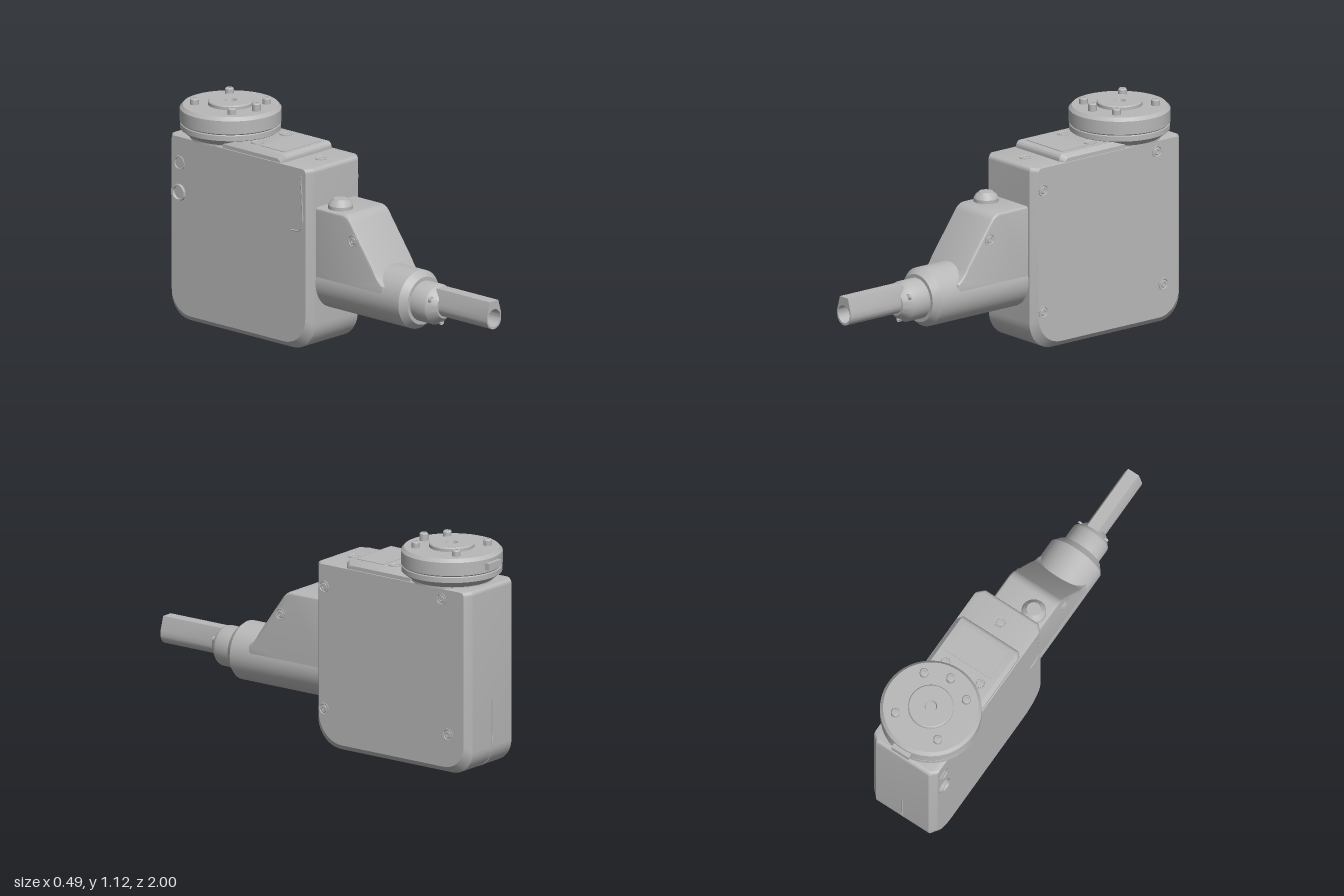
import * as THREE from 'three';
import { toCreasedNormals } from 'three/addons/utils/BufferGeometryUtils.js';

const grey = new THREE.MeshStandardMaterial({ color: 0xb8b8b8 });
grey.name = 'machined grey';

const UP = new THREE.Vector3(0, 1, 0);

export function createModel() {
  const model = new THREE.Group();
  model.name = 'actuator';

  function add(name, geometry, crease = 0.5) {
    const mesh = new THREE.Mesh(toCreasedNormals(geometry, crease), grey);
    mesh.name = name;
    model.add(mesh);
    return mesh;
  }

  // Turned part: profile of [radius, height], base at pos, pointing along dir
  function turned(name, profile, pos, dir = [0, 1, 0], sides = 32) {
    const geo = new THREE.LatheGeometry(profile.map(p => new THREE.Vector2(...p)), sides);
    const mesh = add(name, geo);
    mesh.position.set(...pos);
    mesh.quaternion.setFromUnitVectors(UP, new THREE.Vector3(...dir).normalize());
    return mesh;
  }

  // Skin over convex rings ordered along +x, closed at both ends
  function loft(rings) {
    const v = [];
    const tri = (...pts) => pts.forEach(p => v.push(p.x, p.y, p.z));
    const n = rings[0].length;
    for (let i = 0; i < rings.length - 1; i++) {
      for (let j = 0; j < n; j++) {
        const k = (j + 1) % n;
        const a = rings[i][j], b = rings[i][k], c = rings[i + 1][k], d = rings[i + 1][j];
        tri(a, b, d);
        tri(b, c, d);
      }
    }
    [rings[0], rings[rings.length - 1]].forEach((ring, end) => {
      const mid = ring.reduce((s, p) => s.add(p), new THREE.Vector3()).divideScalar(n);
      ring.forEach((p, j) => {
        const q = ring[(j + 1) % n];
        if (end) tri(mid, p, q); else tri(mid, q, p);
      });
    });
    const geo = new THREE.BufferGeometry();
    geo.setAttribute('position', new THREE.Float32BufferAttribute(v, 3));
    return geo;
  }

  // Rounded side outline of a case at x; radii: front bottom, back bottom, back top, front top
  function outline(x, zBack, zFront, yLow, yHigh, radii) {
    const corners = [[zFront, yLow, 1, -1], [zBack, yLow, -1, -1], [zBack, yHigh, -1, 1], [zFront, yHigh, 1, 1]];
    const pts = [];
    corners.forEach(([z, y, sz, sy], c) => {
      const r = radii[c];
      const start = -c * Math.PI / 2;
      for (let i = 0; i <= 10; i++) {
        const a = start - i * Math.PI / 20;
        pts.push(new THREE.Vector3(x, y - sy * r + r * Math.sin(a), z - sz * r + r * Math.cos(a)));
      }
    });
    return pts;
  }

  // Main case with chamfered side edges
  const caseRing = (x, inset) => outline(x, -0.98 + inset, -0.04 - inset, 0.01 + inset,
    0.93 - inset * 0.15, [0.14, 0.12, 0.02, 0.02]);
  add('case', loft([caseRing(-0.185, 0.03), caseRing(-0.152, 0), caseRing(0.152, 0), caseRing(0.185, 0.03)]), 0.4);

  // Raised cover in front of the turntable
  const coverRing = (x, inset) => outline(x, -0.62, -0.22 - inset, 0.91, 0.965 - inset, [0.005, 0.005, 0.005, 0.025]);
  add('topCover', loft([coverRing(-0.18, 0.02), coverRing(-0.16, 0), coverRing(0.16, 0), coverRing(0.18, 0.02)]), 0.4);
  const panel = add('coverPanel', new THREE.BoxGeometry(0.26, 0.006, 0.16));
  panel.position.set(0, 0.965, -0.34);

  // Turntable, hub, pins and index tab
  const axisZ = -0.735;
  turned('turntableBase', [[0, 0.925], [0.2, 0.925], [0.2, 0.935], [0.243, 0.968], [0.243, 0.993], [0.238, 0.998], [0, 0.998]],
    [0, 0, axisZ], [0, 1, 0], 64);
  turned('turntableDisc', [[0, 0.996], [0.238, 0.996], [0.245, 1.003], [0.245, 1.068], [0.23, 1.085], [0, 1.085]],
    [0, 0, axisZ], [0, 1, 0], 64);
  turned('hub', [[0.11, 1.08], [0.11, 1.1], [0.105, 1.105], [0.03, 1.105], [0.026, 1.09], [0, 1.09]],
    [0, 0, axisZ], [0, 1, 0], 48);
  const pin = h => [[0.021, 0], [0.021, h - 0.006], [0.016, h], [0.009, h], [0.009, h - 0.008], [0, h - 0.008]];
  for (const sx of [-1, 1]) {
    for (const sz of [-1, 1]) turned('pin', pin(0.036), [sx * 0.123, 1.08, axisZ + sz * 0.123], [0, 1, 0], 20);
  }
  turned('locatingPin', pin(0.044), [0, 1.08, -0.565], [0, 1, 0], 20);
  const tab = add('indexTab', new THREE.BoxGeometry(0.1, 0.034, 0.05));
  tab.position.set(0, 1.035, -0.975);

  // Screws with a recessed socket
  const screw = [[0.03, -0.004], [0.03, 0.003], [0.024, 0.003], [0.022, 0], [0.018, 0], [0.016, 0.003],
    [0.009, 0.003], [0.008, -0.003], [0, -0.003]];
  for (const [y, z] of [[0.815, -0.1], [0.205, -0.1], [0.875, -0.815], [0.205, -0.855]]) {
    turned('sideScrew', screw, [0.186, y, z], [1, 0, 0]);
  }
  for (const s of [-1, 1]) {
    turned('coverScrew', screw, [s * 0.1, 0.966, -0.465]);
    turned('armScrew', screw, [s * 0.141, 0.615, 0.2], [s, 0, 0]);
  }
  turned('topScrew', screw, [0, 0.931, -0.14]);

  // Connector ports
  const port = (r, h) => [[r, -0.02], [r, h], [r * 0.75, h], [r * 0.7, 0.001], [0, 0.001]];
  turned('upperPort', port(0.036, 0.005), [-0.185, 0.795, -0.9], [-1, 0, 0]);
  turned('lowerPort', port(0.042, 0.015), [-0.185, 0.648, -0.9], [-1, 0, 0]);

  // Foot on the underside
  turned('foot', [[0.07, -0.01], [0.07, 0.01], [0.05, 0.01], [0.048, 0.005], [0, 0.005]], [0, 0.01, -0.26], [0, -1, 0]);

  // Seam lines on the side, back and underside
  const seam = (name, pts) => add(name, new THREE.TubeGeometry(
    new THREE.CatmullRomCurve3(pts.map(p => new THREE.Vector3(...p))), 40, 0.004, 6), 1);
  seam('sideSeam', [[-0.185, 0.89, -0.1], [-0.185, 0.75, -0.09], [-0.185, 0.65, -0.09], [-0.185, 0.615, -0.11], [-0.185, 0.61, -0.16]]);
  seam('backSeam', [[0, 0.36, -0.98], [0, 0.2, -0.98], [0, 0.13, -0.98], [0, 0.045, -0.945], [0, 0.01, -0.86], [0, 0.01, -0.7], [0, 0.01, -0.4]]);

  // Arm: tall sloped web over a round barrel
  const web = new THREE.Shape();
  web.moveTo(-0.08, 0.34);
  web.lineTo(0.4, 0.34);
  web.lineTo(0.4, 0.425);
  web.quadraticCurveTo(0.36, 0.45, 0.335, 0.5);
  web.lineTo(0.19, 0.7);
  web.quadraticCurveTo(0.168, 0.735, 0.13, 0.735);
  web.lineTo(-0.08, 0.735);
  web.closePath();
  const webGeo = new THREE.ExtrudeGeometry(web, {
    depth: 0.25, bevelThickness: 0.016, bevelSize: 0.016, bevelOffset: -0.016, bevelSegments: 3, curveSegments: 8,
  });
  webGeo.translate(0, 0, -0.125);
  webGeo.rotateY(-Math.PI / 2);
  add('armWeb', webGeo);
  const barrelAxis = [0, 0.355, 0];
  turned('armBarrel', [[0, -0.06], [0.145, -0.06], [0.145, 0.505], [0.118, 0.54], [0, 0.54]], barrelAxis, [0, 0, 1], 48);
  turned('collar', [[0.1, 0.53], [0.1, 0.63], [0.096, 0.64], [0.06, 0.68], [0, 0.68]], barrelAxis, [0, 0, 1], 48);

  // Collar screws around the cone
  for (const deg of [30, 150, 270]) {
    const a = deg * Math.PI / 180;
    const small = turned('collarScrew', screw, [0.084 * Math.cos(a), 0.355 + 0.084 * Math.sin(a), 0.653], [0, 0, 1], 16);
    small.scale.set(0.5, 1.5, 0.5);
  }

  // Hollow spindle: round below, tapering to a flat on top
  const section = new THREE.Shape();
  section.moveTo(0.03, 0.445);
  section.lineTo(-0.03, 0.445);
  section.lineTo(-0.05, 0.375);
  section.absarc(0, 0.355, 0.05, Math.PI, Math.PI * 2, false);
  section.lineTo(0.05, 0.375);
  section.closePath();
  const bore = new THREE.Path();
  bore.absarc(0, 0.36, 0.044, 0, Math.PI * 2, true);
  section.holes.push(bore);
  const spindle = new THREE.ExtrudeGeometry(section, { depth: 0.35, bevelEnabled: false, curveSegments: 20 });
  spindle.translate(0, 0, 0.65);
  add('spindle', spindle);

  // Domed button on the arm
  turned('button', [[0.06, 0], [0.06, 0.022], [0.05, 0.04], [0.036, 0.05], [0.034, 0.053], [0, 0.053]], [-0.065, 0.73, 0.05]);

  return model;
}
